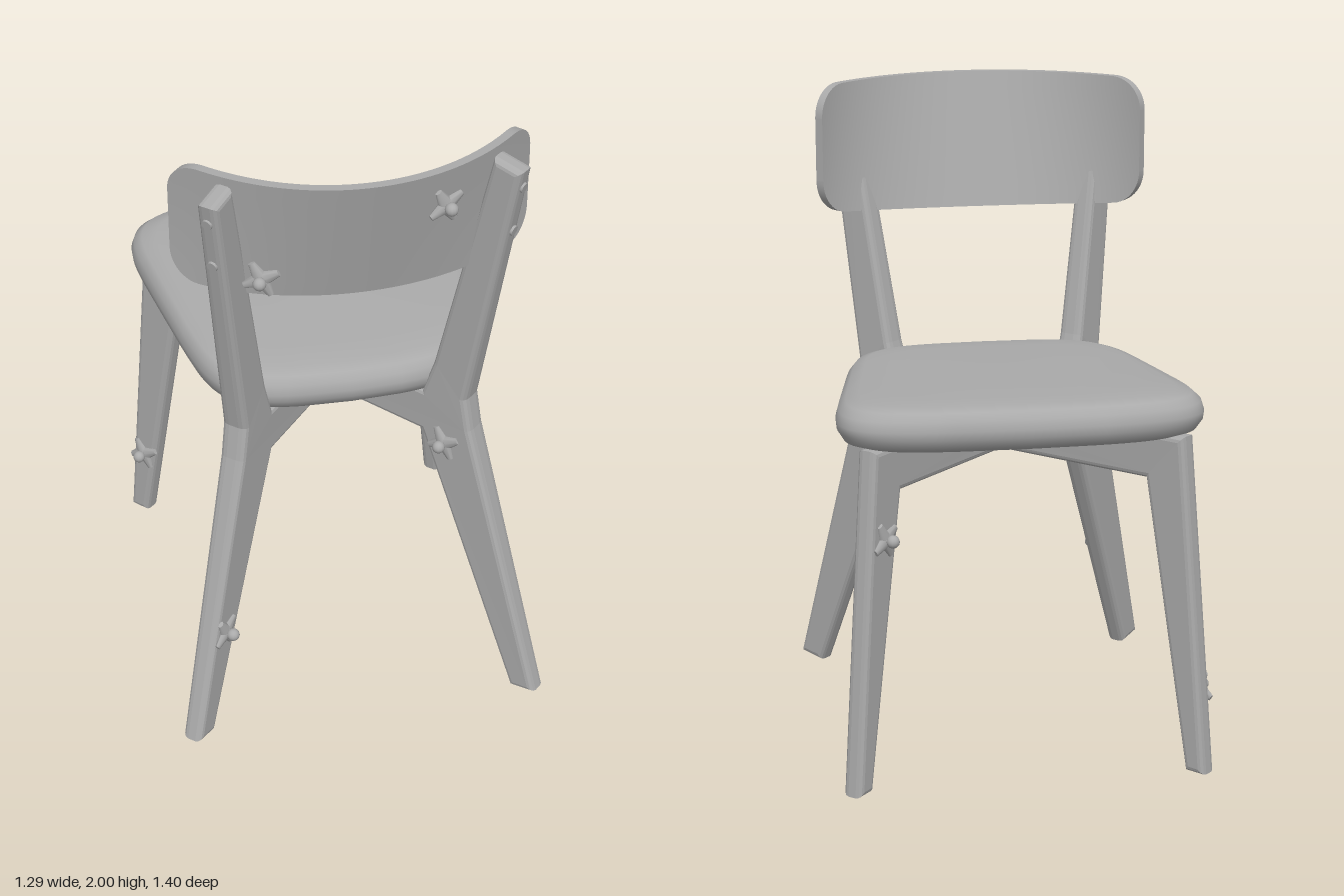
import * as THREE from 'three';
import { mergeVertices } from 'three/addons/utils/BufferGeometryUtils.js';

const grey = new THREE.MeshStandardMaterial({ color: 0xaaaaaa });
grey.name = 'plain grey';

function add(parent, name, geometry) {
  const mesh = new THREE.Mesh(geometry, grey);
  mesh.name = name;
  parent.add(mesh);
  return mesh;
}

// Half of the crossed base: back leg with upright, beam and front leg in one diagonal plane
function frameGeometry(side) {
  const outline = [
    [0.755, 0], [0.845, 0.015], [0.57, 0.96], [0.55, 1.07], [0.72, 1.96], [0.625, 1.98],
    [0.43, 1.17], [0.39, 1.05], [-0.72, 1.06], [-0.82, 0], [-0.75, 0], [-0.585, 0.91], [0.39, 0.89],
  ].map(([r, y]) => new THREE.Vector2(r, y));
  const g = new THREE.ExtrudeGeometry(new THREE.Shape(outline), {
    depth: 0.026, bevelThickness: 0.02, bevelSize: 0.018, bevelOffset: -0.018, bevelSegments: 3,
  });
  g.translate(0, 0, -0.013);
  // The knee is thicker, and the uprights lean slightly inwards above it
  const p = g.attributes.position;
  for (let i = 0; i < p.count; i++) {
    const y = p.getY(i);
    const swell = p.getX(i) > 0.3 ? 1 + 0.3 * Math.exp(-(((y - 1.05) / 0.25) ** 2)) : 1;
    p.setZ(i, p.getZ(i) * swell + side * 0.038 * Math.max(0, y - 1.07));
  }
  g.computeVertexNormals();
  return g;
}

// Cushion: a lathed pad reshaped to a rounded trapezoid, wide at the front
function seatGeometry() {
  const profile = [
    [0, 1.045], [0.5, 1.045], [0.9, 1.045], [0.965, 1.06], [0.995, 1.09], [1, 1.115], [0.985, 1.145],
    [0.945, 1.167], [0.87, 1.178], [0.7, 1.183], [0.35, 1.186], [0, 1.187],
  ].map(([r, y]) => new THREE.Vector2(r, y));
  let g = new THREE.LatheGeometry(profile, 96);
  g.deleteAttribute('uv');
  g.deleteAttribute('normal');
  const p = g.attributes.position;
  const power = (v) => Math.sign(v) * Math.pow(Math.abs(v), 0.36);
  for (let i = 0; i < p.count; i++) {
    const x = p.getX(i), z = p.getZ(i), r = Math.hypot(x, z);
    const sx = r > 1e-6 ? r * power(x / r) : 0;
    const sz = r > 1e-6 ? r * power(z / r) : 0;
    const bow = 0.045 * (1 - sx * sx) * sz;
    const depth = -0.163 + 0.465 * sz + bow;
    p.setXYZ(i, 0.012 + sx * (0.505 - 0.085 * sz), p.getY(i) - 0.04 * depth, depth);
  }
  g = mergeVertices(g, 1e-5);
  g.computeVertexNormals();
  return g;
}

// Backrest: a board with rounded corners, bent round an arc and tilted back in the middle
function backrestGeometry() {
  const W = 0.578, H = 0.2, R = 0.736, corner = 0.1;
  const endCos = Math.cos(W / R);
  const g = new THREE.BoxGeometry(2, 2, 0.028, 64, 8, 1);
  const p = g.attributes.position;
  for (let i = 0; i < p.count; i++) {
    const s = W * Math.sin(p.getX(i) * Math.PI / 2);
    const d = Math.max(0, Math.abs(s) - (W - corner));
    const half = H - corner + Math.sqrt(Math.max(0, corner * corner - d * d));
    const v = p.getY(i);
    const sag = v < 0 ? v * 0.025 * (1 - (s / W) ** 2) : 0;
    const y = v * half + sag;
    const radius = R + p.getZ(i), a = s / R;
    const tilt = 0.26 * (Math.cos(a) - endCos) / (1 - endCos);
    p.setXYZ(i, radius * Math.sin(a), 1.798 + y, -0.19 + radius * Math.cos(a) + tilt * y);
  }
  g.computeVertexNormals();
  return g;
}

// Four-armed star knob with a ball on a short stem, pointing along +z
function starKnob() {
  const knob = new THREE.Group();
  knob.name = 'starKnob';
  for (let i = 0; i < 4; i++) {
    const a = i * Math.PI / 2 + 0.5;
    const g = new THREE.CylinderGeometry(0.011, 0.026, 0.058, 8);
    g.scale(1, 1, 0.6).translate(0, 0.029, 0.003).rotateZ(a);
    add(knob, 'knobArm', g);
  }
  add(knob, 'knobStem', new THREE.CylinderGeometry(0.012, 0.016, 0.03, 10).rotateX(Math.PI / 2).translate(0, 0, 0.012));
  add(knob, 'knobBall', new THREE.SphereGeometry(0.02, 12, 10).translate(0, 0, 0.03));
  return knob;
}

export function createModel() {
  const model = new THREE.Group();
  model.name = 'chair';

  const body = new THREE.Group();
  body.name = 'chairBody';
  body.rotation.y = -0.13;
  model.add(body);

  add(body, 'seat', seatGeometry());
  add(body, 'backrest', backrestGeometry());

  for (const side of [1, -1]) {
    const half = new THREE.Group();
    half.name = side > 0 ? 'leftDiagonalFrame' : 'rightDiagonalFrame';
    half.rotation.y = side * 0.735 - Math.PI / 2;
    body.add(half);
    add(half, 'legsAndBeam', frameGeometry(side));

    // Screw heads on the back of each upright
    for (const [r, y] of [[0.7, 1.9], [0.67, 1.74]]) {
      const head = add(half, 'uprightScrew', new THREE.CylinderGeometry(0.016, 0.018, 0.03, 12));
      head.rotation.z = -Math.PI / 2 - 0.19;
      head.position.set(r, y, side * 0.038 * (y - 1.07));
    }
    // Discs under the seat
    for (const z of [-0.45, 0.1]) {
      const disc = add(body, 'seatDisc', new THREE.CylinderGeometry(0.035, 0.03, 0.02, 16));
      disc.position.set(side * 0.24, 1.04 - 0.04 * z, z);
    }
  }

  // Knobs: position, then facing direction in plan
  const knobs = [
    [0.15, 1.88, 0.585, 0.2, 1],
    [-0.355, 1.66, 0.455, -0.5, 0.86],
    [-0.5, 0.37, 0.475, 0.65, 0.76],
    [0.24, 0.88, 0.415, -0.82, 0.57],
    [-0.45, 0.26, -0.6, -0.82, 0.57],
    [0.495, 0.78, -0.465, -0.65, -0.76],
  ];
  for (const [x, y, z, dx, dz] of knobs) {
    const knob = starKnob();
    knob.position.set(x, y, z);
    knob.rotation.y = Math.atan2(dx, dz);
    model.add(knob);
  }
  return model;
}
